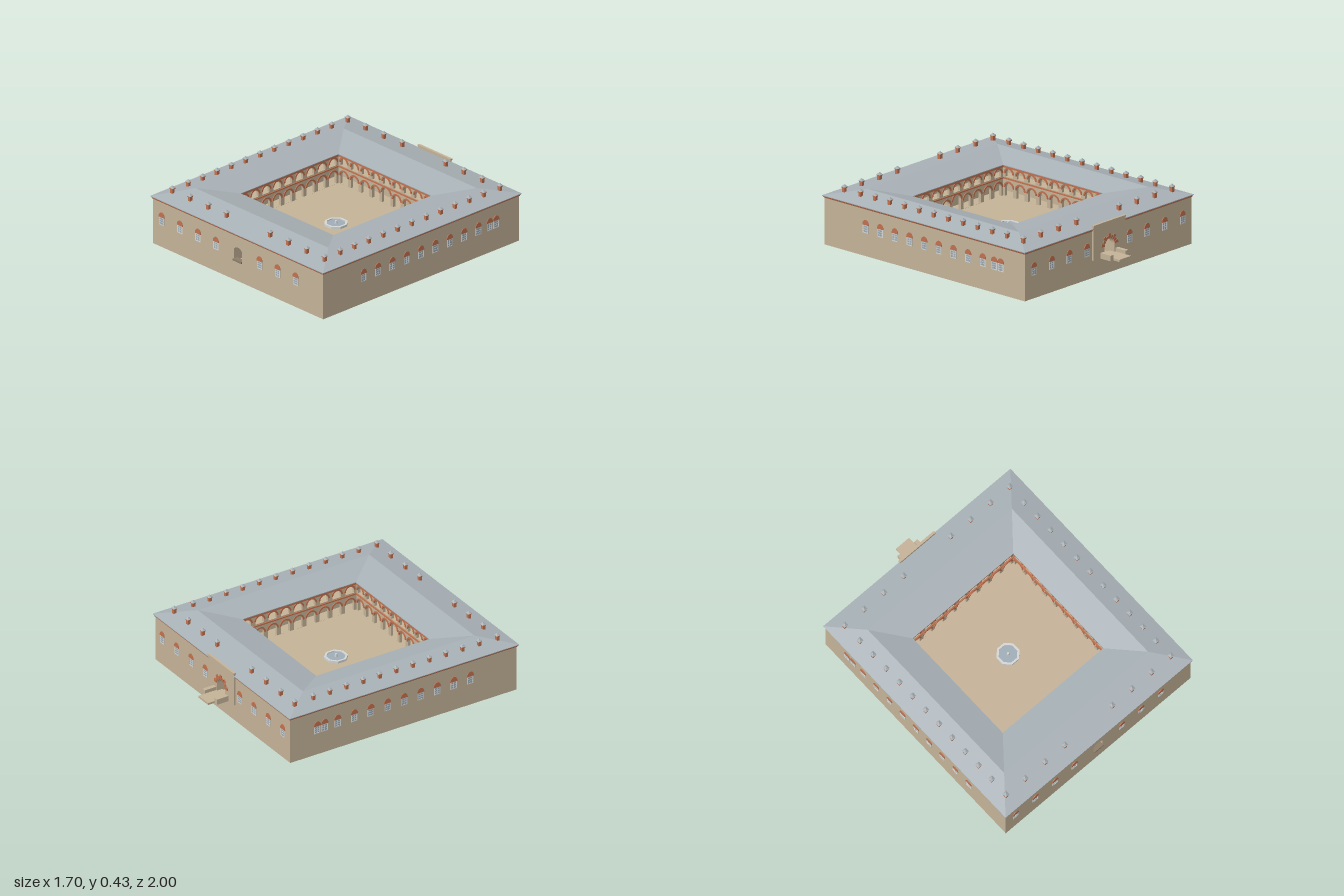
import * as THREE from 'three';

const mat = (name, color) => {
  const m = new THREE.MeshStandardMaterial({ color });
  m.name = name;
  return m;
};
const CZ = 0.0725;                                   // courtyard centre in z
const HX = 0.84, HZ = 0.9155;                        // outer wall half sizes
const FLOOR = 0.13, WALL_TOP = 0.337;

export function createModel() {
  const root = new THREE.Group();
  root.name = 'courtyardFortress';
  const wall = mat('tan stone', 0xc4b297);
  const brick = mat('terracotta', 0xc0714f);
  const roofMat = mat('slate roof', 0xa8b1b6);
  const pane = mat('window glass', 0x9fadb8);
  const frameMat = mat('pale frame', 0xd3d6d4);
  const sillMat = mat('brown stone', 0x8c7c68);

  const add = (parent, name, geo, material, x = 0, y = 0, z = 0) => {
    const m = new THREE.Mesh(geo, material);
    m.name = name;
    m.position.set(x, y, z);
    parent.add(m);
    return m;
  };
  const box = (parent, name, material, x0, x1, y0, y1, z0, z1) =>
    add(parent, name, new THREE.BoxGeometry(x1 - x0, y1 - y0, z1 - z0), material,
      (x0 + x1) / 2, (y0 + y1) / 2, (z0 + z1) / 2);
  const extrude = (shapes, depth) =>
    new THREE.ExtrudeGeometry(shapes, { depth, bevelEnabled: false, curveSegments: 10 });
  const group = (name, parent, x, z, turn) => {
    const g = new THREE.Group();
    g.name = name;
    g.position.set(x, 0, z);
    g.rotation.y = turn;
    parent.add(g);
    return g;
  };

  // Shape helpers: rectangle, arched opening, arch band
  const rect = (x0, x1, y0, y1) => new THREE.Shape([[x0, y0], [x1, y0], [x1, y1], [x0, y1]]
    .map(([x, y]) => new THREE.Vector2(x, y)));
  const arch = (x, w, y0, spring, h) => {
    const p = new THREE.Path();
    p.moveTo(x - w, y0);
    p.lineTo(x + w, y0);
    p.lineTo(x + w, spring);
    p.absellipse(x, spring, w, h, 0, Math.PI, false);
    return p;
  };
  const band = (x, spring, r0, r1, a0 = 0, a1 = Math.PI) => {
    const s = new THREE.Shape();
    s.absarc(x, spring, r1, a0, a1, false);
    s.absarc(x, spring, r0, a1, a0, true);
    return s;
  };
  const panel = (x0, x1, y0, y1, holes, depth) => {
    const s = rect(x0, x1, y0, y1);
    s.holes.push(...holes);
    return extrude(s, depth);
  };

  // Rectangular ring swept through [halfX, halfZ, y] steps
  const ringLoft = (steps) => {
    const corners = [[-1, 1], [1, 1], [1, -1], [-1, -1]];
    const pos = [];
    const at = ([hx, hz, y], k) => [corners[k % 4][0] * hx, y, corners[k % 4][1] * hz];
    for (let i = 0; i + 1 < steps.length; i++) {
      for (let k = 0; k < 4; k++) {
        const a = at(steps[i], k), b = at(steps[i], k + 1);
        const c = at(steps[i + 1], k + 1), d = at(steps[i + 1], k);
        pos.push(...a, ...b, ...c, ...a, ...c, ...d);
      }
    }
    const g = new THREE.BufferGeometry();
    g.setAttribute('position', new THREE.Float32BufferAttribute(pos, 3));
    g.computeVertexNormals();
    return g;
  };

  // Solid base, whose top is the courtyard floor
  box(root, 'courtyardFloor', wall, -HX + 0.03, HX - 0.03, 0, FLOOR, CZ - HZ + 0.03, CZ + HZ - 0.03);

  // Outer walls; local +z faces outwards
  const front = group('frontWall', root, 0, CZ + HZ, 0);
  const back = group('backWall', root, 0, CZ - HZ, Math.PI);
  const left = group('leftWall', root, HX, CZ, Math.PI / 2);
  const right = group('rightWall', root, -HX, CZ, -Math.PI / 2);
  const T = 0.03;
  add(front, 'wallPanel', panel(-HX, HX, 0, WALL_TOP, [arch(0, 0.04, 0.155, 0.222, 0.028)], T), wall, 0, 0, -T);
  add(back, 'wallPanel', panel(-HX, HX, 0, WALL_TOP, [arch(0, 0.05, 0.14, 0.2, 0.05)], T), wall, 0, 0, -T);
  for (const g of [left, right])
    box(g, 'wallPanel', wall, -HZ + T, HZ - T, 0, WALL_TOP, -T, 0);

  // Windows: frame with two-by-three lights, glass and brick arch
  const frameShape = rect(-0.025, 0.025, 0.165, 0.222);
  for (let i = 0; i < 2; i++)
    for (let j = 0; j < 3; j++) {
      const x = -0.019 + i * 0.02, y = 0.171 + j * 0.016;
      frameShape.holes.push(rect(x, x + 0.018, y, y + 0.0138));
    }
  const frameGeo = extrude(frameShape, 0.004);
  const paneGeo = extrude(rect(-0.024, 0.024, 0.166, 0.222), 0.002);
  const half = new THREE.Shape();
  half.absellipse(0, 0.222, 0.028, 0.037, 0, Math.PI, false);
  const archGeo = extrude(half, 0.005);
  const window_ = (parent, x) => {
    const g = group('window', parent, x, 0, 0);
    add(g, 'windowFrame', frameGeo, frameMat);
    add(g, 'windowGlass', paneGeo, pane);
    add(g, 'windowArch', archGeo, brick);
  };
  for (const x of [0.215, 0.392, 0.57, 0.75]) {
    if (x < 0.7) window_(front, x);
    window_(front, -x);
    window_(back, x);
    window_(back, -x);
  }
  const sideZ = [-0.565, -0.625];
  for (let i = 0; i < 9; i++) sideZ.push(0.612 - i * 0.134);
  for (const z of sideZ) {
    window_(left, CZ - z);
    window_(right, z - CZ);
  }

  // Small front balcony sill
  box(front, 'frontSill', sillMat, -0.042, 0.042, 0.145, 0.158, -T, 0.01);

  // Back portal with arch stones, cap, landing and side blocks
  const portal = group('portal', back, 0, 0, 0);
  add(portal, 'portalSlab', panel(-0.16, 0.16, 0.125, 0.37, [arch(0, 0.05, 0.14, 0.2, 0.05)], 0.013), wall);
  box(portal, 'portalCap', wall, -0.163, 0.163, 0.365, 0.377, 0, 0.018);
  const stones = [];
  for (let i = 0; i < 9; i++) {
    const a = (i * Math.PI) / 9;
    stones.push(band(0, 0.2, 0.051, i % 2 ? 0.072 : 0.084, a + 0.03, a + Math.PI / 9 - 0.03));
  }
  add(portal, 'portalArchStones', extrude(stones, 0.006), brick, 0, 0, 0.012);
  box(portal, 'landing', wall, -0.06, 0.06, 0.125, 0.14, 0.01, 0.157);
  for (const s of [-1, 1])
    box(portal, 'landingBlock', wall, s * 0.075 - 0.015, s * 0.075 + 0.015, 0.125, 0.165, 0.01, 0.105);

  // Eaves band and roof
  add(root, 'eavesBand', ringLoft([[0.843, 0.919, 0.335], [0.849, 0.924, 0.348], [0.4585, 0.4585, 0.348],
    [0.4585, 0.4585, 0.335], [0.843, 0.919, 0.335]]), brick, 0, 0, CZ);
  add(root, 'roof', ringLoft([[0.843, 0.919, 0.348], [0.852, 0.9275, 0.348], [0.852, 0.9275, 0.353],
    [0.655, 0.6925, 0.402], [0.4575, 0.4575, 0.353], [0.4575, 0.4575, 0.348]]), roofMat, 0, 0, CZ);

  // Chimneys
  const capGeo = new THREE.ConeGeometry(0.024, 0.018, 4).rotateY(Math.PI / 4);
  const chimney = (x, z) => {
    const g = group('chimney', root, x, z, 0);
    box(g, 'chimneyStack', brick, -0.011, 0.011, 0.36, 0.412, -0.011, 0.011);
    box(g, 'chimneyRim', brick, -0.014, 0.014, 0.405, 0.413, -0.014, 0.014);
    add(g, 'chimneyCap', capGeo, roofMat, 0, 0.422, 0);
  };
  for (const s of [-1, 1]) {
    for (const x of [0.215, 0.395, 0.575, 0.75]) {
      chimney(s * x, 0.89);
      chimney(s * x, -0.748);
    }
    for (let i = 0; i < 11; i++) chimney(s * 0.748, 0.743 - i * 0.134);
  }

  // Two-storey arcades around the courtyard; local +z faces the centre
  const BAYS = 9, PITCH = 0.104, IN = 0.47;
  for (let side = 0; side < 4; side++) {
    const g = group('arcade', root, 0, CZ, (side * Math.PI) / 2);
    const holes = [], bands = [];
    for (let i = 0; i < BAYS; i++) {
      const x = (i - (BAYS - 1) / 2) * PITCH;
      const mid = side % 2 === 0 && i === 4;
      const w = mid ? 0.042 : 0.036, spring = mid ? 0.208 : 0.192;
      holes.push(arch(x, w, FLOOR + 0.0005, spring, w), arch(x, 0.034, 0.268, 0.292, 0.034));
      bands.push(band(x, spring, w, w + 0.011), band(x, 0.292, 0.034, 0.045));
    }
    add(g, 'arcadeWall', panel(-0.49, 0.49, FLOOR, WALL_TOP, holes, 0.02), wall, 0, 0, -IN - 0.02);
    add(g, 'arcadeArches', extrude(bands, 0.006), brick, 0, 0, -IN);
    box(g, 'arcadeCourse', brick, -IN, IN, 0.253, 0.262, -IN, -IN + 0.008);
    // Gallery back wall and floor
    const gate = side % 2 === 0 ? [arch(0, 0.045, FLOOR + 0.0005, 0.206, 0.045)] : [];
    add(g, 'galleryWall', panel(-0.58, 0.58, FLOOR, WALL_TOP, gate, 0.02), wall, 0, 0, -0.58);
    // Gate passage through the front and back ranges
    if (gate.length) {
      for (const s of [-1, 1])
        box(g, 'passageWall', wall, s * 0.06 - 0.008, s * 0.06 + 0.008, FLOOR, 0.26, -HZ + T, -0.58);
      box(g, 'passageCeiling', wall, -0.068, 0.068, 0.26, 0.27, -HZ + T, -0.58);
    }
  }
  add(root, 'galleryFloor', ringLoft([[0.565, 0.565, 0.252], [0.565, 0.565, 0.262], [0.475, 0.475, 0.262],
    [0.475, 0.475, 0.252], [0.565, 0.565, 0.252]]), wall, 0, 0, CZ);

  // Octagonal fountain
  const fountain = group('fountain', root, 0, CZ, Math.PI / 8);
  const rimGeo = new THREE.LatheGeometry([[0.083, 0], [0.083, 0.016], [0.067, 0.016], [0.067, 0.004]]
    .map(([r, y]) => new THREE.Vector2(r, y)), 8).toNonIndexed();
  rimGeo.computeVertexNormals();
  add(fountain, 'fountainRim', rimGeo, frameMat, 0, FLOOR, 0);
  add(fountain, 'fountainWater', new THREE.CylinderGeometry(0.068, 0.068, 0.009, 8), pane, 0, FLOOR + 0.0045, 0);
  add(fountain, 'fountainSpout', new THREE.CylinderGeometry(0.008, 0.011, 0.03, 8), frameMat, 0, FLOOR + 0.015, 0);

  return root;
}
